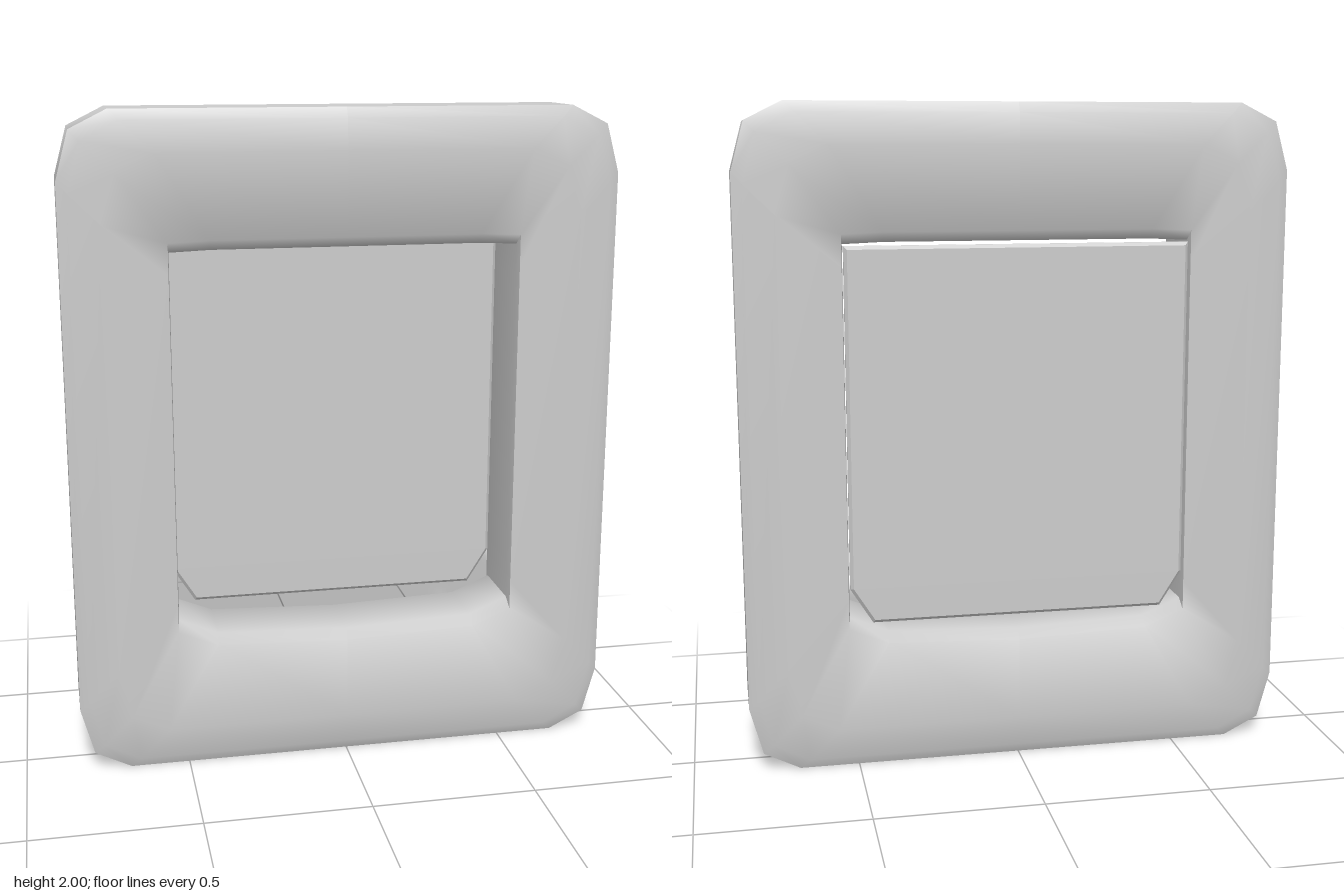
import * as THREE from 'three';
import { toCreasedNormals } from 'three/addons/utils/BufferGeometryUtils.js';

const material = new THREE.MeshStandardMaterial({ color: 0xcccccc, side: THREE.DoubleSide });

// Mirror a right-hand half outline (bottom centre to top centre) into a closed loop
function mirrorLoop(half) {
  const left = half.slice(1, -1).reverse().map(([x, y]) => [-x, y]);
  return [...half, ...left];
}

// Grow (positive) or shrink an outline about the centre at y = 1
function offset(loop, dx, dy) {
  return loop.map(([x, y]) => [x + Math.sign(x) * dx, y + Math.sign(y - 1) * dy]);
}

// Skin a closed chain of rings, each an outline at a depth z
function loftRings(rings) {
  const n = rings[0].loop.length;
  const positions = [];
  const index = [];
  rings.forEach(({ loop, z }, i) => {
    const next = ((i + 1) % rings.length) * n;
    loop.forEach(([x, y], j) => {
      positions.push(x, y, z);
      const k = (j + 1) % n;
      const a = i * n + j, b = i * n + k, c = next + k, d = next + j;
      index.push(a, d, c, a, c, b);
    });
  });
  const geometry = new THREE.BufferGeometry();
  geometry.setAttribute('position', new THREE.Float32BufferAttribute(positions, 3));
  geometry.setIndex(index);
  return toCreasedNormals(geometry, 0.97);
}

function createFrame() {
  const outer = mirrorLoop([
    [0, 0], [0.68, 0], [0.79, 0.055], [0.83, 0.2],
    [0.83, 1.8], [0.79, 1.945], [0.68, 2], [0, 2],
  ]);
  const hole = mirrorLoop([
    [0, 0.405], [0.4, 0.42], [0.52, 0.47], [0.52, 0.56],
    [0.52, 1.5], [0.52, 1.595], [0.4, 1.6], [0, 1.6],
  ]);
  // Cross-section: hole lip, face, rounded rim, side, then the same on the back
  const front = [
    { loop: hole, z: 0.1 },
    { loop: offset(hole, 0.004, 0.03), z: 0.127 },
    { loop: offset(outer, -0.12, -0.12), z: 0.127 },
    { loop: offset(outer, -0.03, -0.03), z: 0.121 },
    { loop: outer, z: 0.105 },
  ];
  const back = front.map(({ loop, z }) => ({ loop, z: -z })).reverse();
  const mesh = new THREE.Mesh(loftRings([...front, ...back]), material);
  mesh.name = 'frame';
  return mesh;
}

function createPanel() {
  // Thin plate with clipped lower corners and a fine bevel
  const bevel = 0.01;
  const outline = mirrorLoop([
    [0, 0.465], [0.445, 0.465], [0.508, 0.565], [0.508, 1.58], [0, 1.58],
  ]);
  const shape = new THREE.Shape(outline.map(([x, y]) => new THREE.Vector2(x, y)));
  const geometry = new THREE.ExtrudeGeometry(shape, {
    depth: 0.01, bevelEnabled: true, bevelSize: bevel, bevelThickness: bevel, bevelSegments: 1,
  });
  geometry.translate(0, 0, -0.115);
  const mesh = new THREE.Mesh(geometry, material);
  mesh.name = 'backPanel';
  return mesh;
}

export function createModel() {
  const model = new THREE.Group();
  model.name = 'framedPanel';
  model.add(createFrame(), createPanel());
  return model;
}
